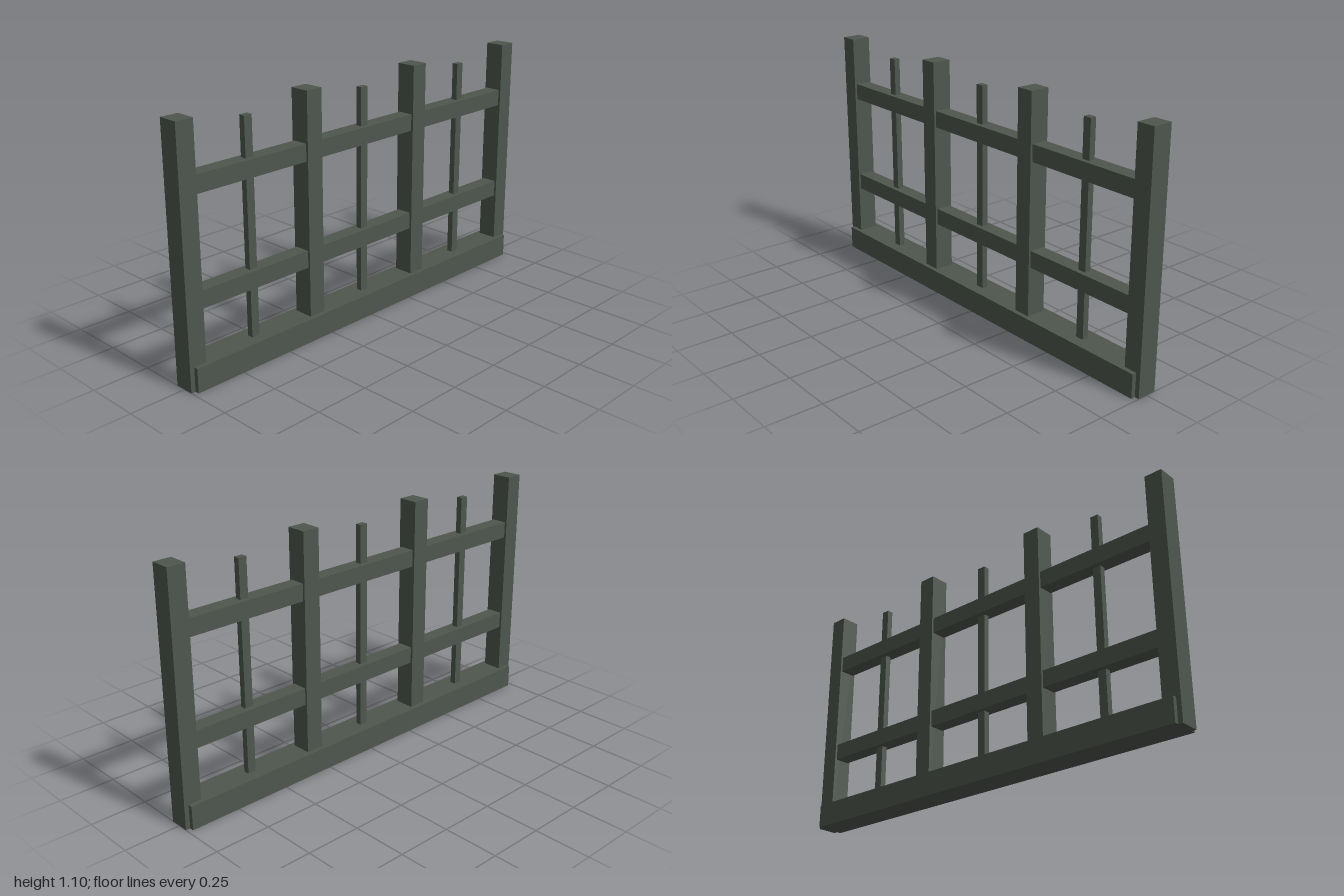
import * as THREE from 'three';

export function createModel() {
  const model = new THREE.Group();
  model.name = 'fenceSection';
  const paint = new THREE.MeshStandardMaterial({ color: 0x4e564e });
  paint.name = 'grey green paint';

  // Box sized (w, h, d) whose underside sits at height y
  const addBox = (name, w, h, d, y, z = 0) => {
    const mesh = new THREE.Mesh(new THREE.BoxGeometry(w, h, d), paint);
    mesh.name = name;
    mesh.position.set(0, y + h / 2, z);
    model.add(mesh);
  };

  // Base beam, slightly shorter than the full run
  addBox('baseBeam', 0.13, 0.107, 1.96, 0);

  // Four thick posts
  [-0.96, -0.32, 0.32, 0.96].forEach((z, i) => addBox(`post${i + 1}`, 0.09, 1.095, 0.08, 0, z));

  // Two horizontal rails
  addBox('lowerRail', 0.07, 0.076, 1.92, 0.331);
  addBox('upperRail', 0.07, 0.076, 1.92, 0.798);

  // Thin pickets midway between the posts
  [-0.64, 0, 0.64].forEach((z, i) => addBox(`picket${i + 1}`, 0.028, 0.985, 0.038, 0.06, z));

  return model;
}
